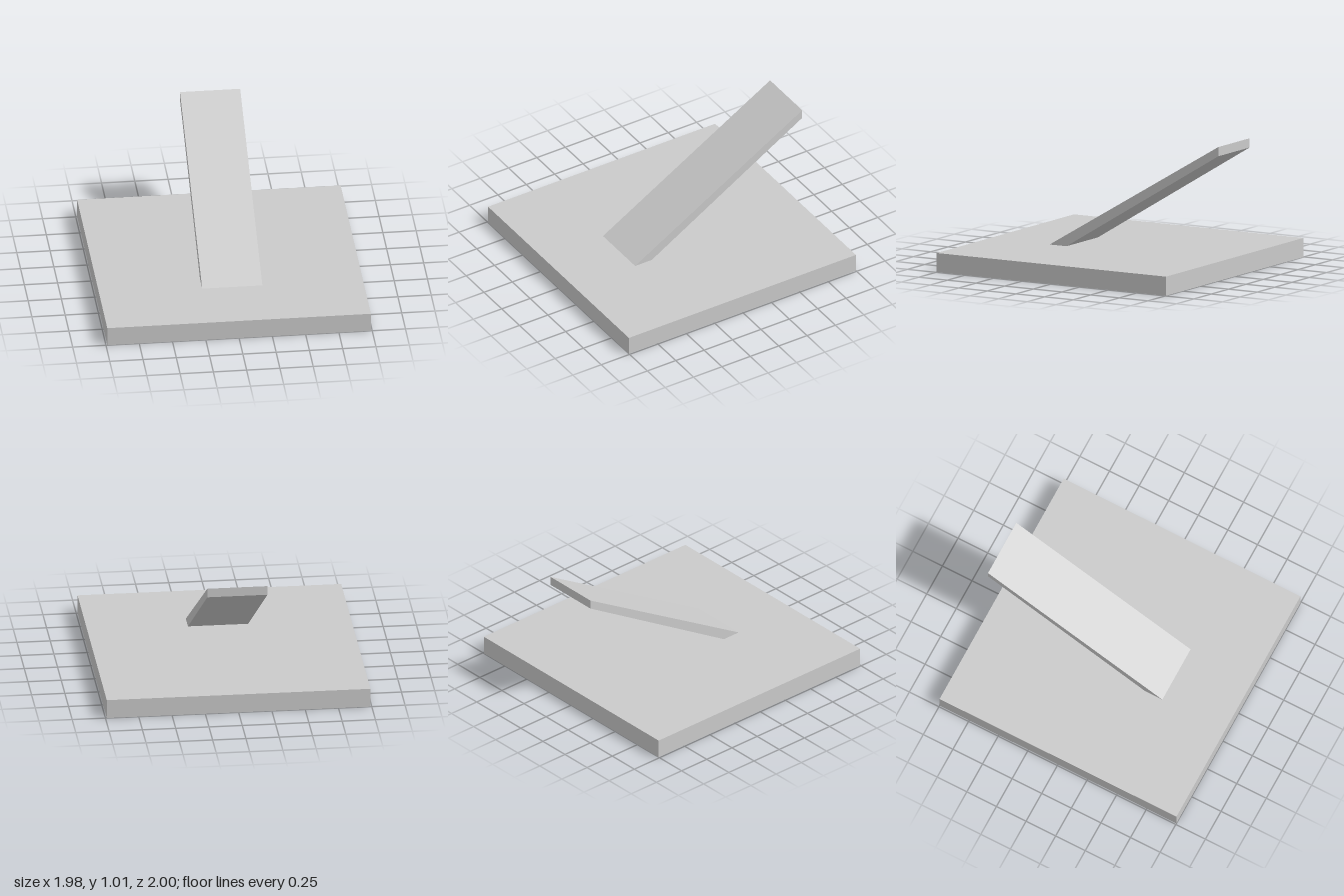
import * as THREE from 'three';

export function createModel() {
  const group = new THREE.Group();
  const grey = new THREE.MeshStandardMaterial({ color: 0xcacaca });
  grey.name = 'light grey';

  // Flat square base slab
  const baseHeight = 0.145;
  const base = new THREE.Mesh(new THREE.BoxGeometry(1.98, baseHeight, 2), grey);
  base.name = 'base';
  base.position.y = baseHeight / 2;
  group.add(base);

  // Sloping plank: side profile (x = -z, y up) extruded across its width
  const left = 0.235, right = -0.217;
  const profile = new THREE.Shape([
    [-0.472, baseHeight], [-0.325, baseHeight], [1, 0.945], [1, 1.015],
  ].map(([x, y]) => new THREE.Vector2(x, y)));
  const plank = new THREE.Mesh(
    new THREE.ExtrudeGeometry(profile, { depth: left - right, bevelEnabled: false }), grey);
  plank.name = 'slopingPlank';
  plank.rotation.y = Math.PI / 2;
  plank.position.x = right;
  group.add(plank);

  return group;
}
